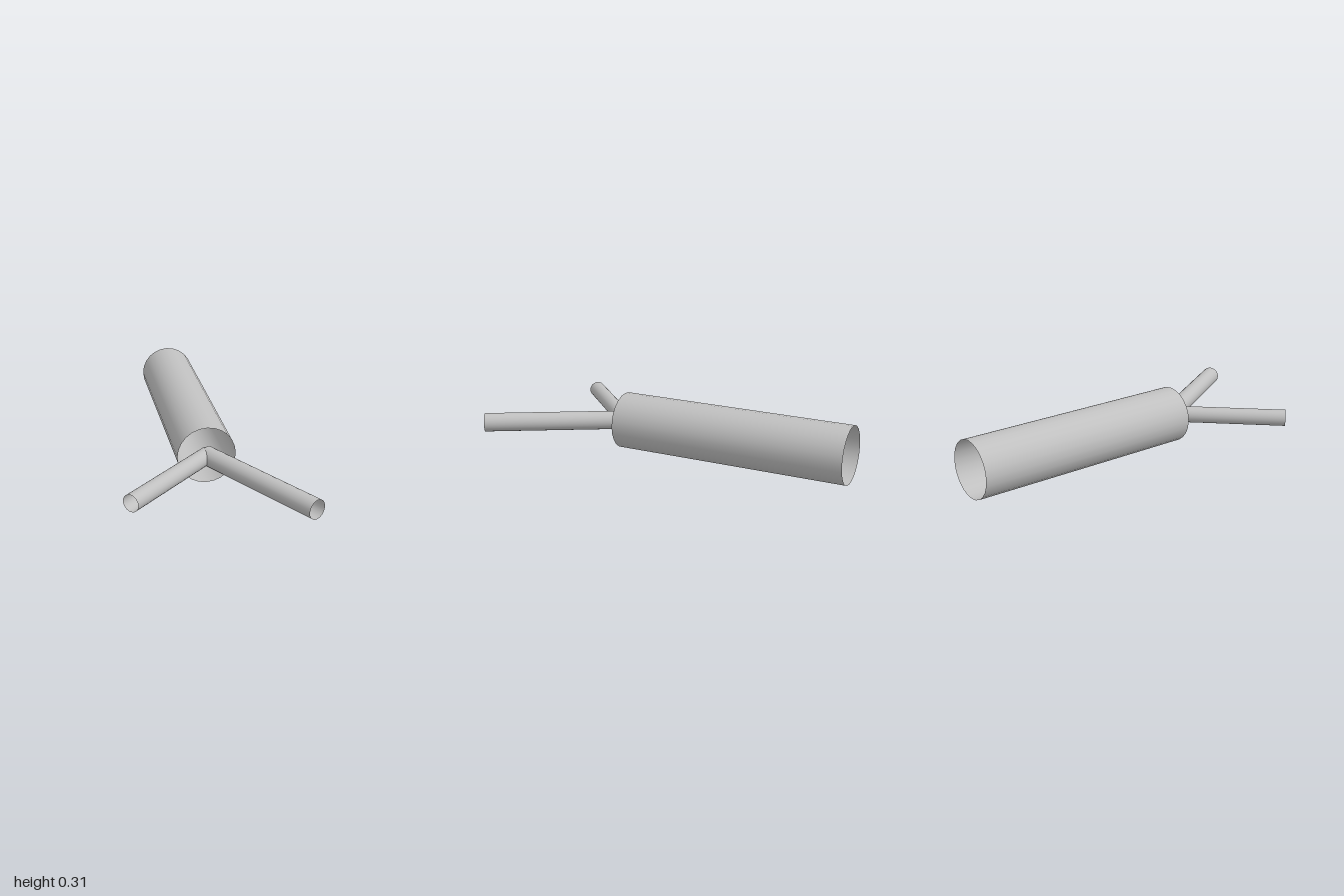
import * as THREE from 'three';

export function createModel() {
  const group = new THREE.Group();
  const grey = new THREE.MeshStandardMaterial({ color: 0xc0c0c0, side: THREE.DoubleSide });
  grey.name = 'light grey';

  // point on the main axis where all three pipes meet
  const junction = new THREE.Vector3(0.026, 0.155, 0.3);

  // thin open pipe leaving the junction, turned by an angle from +z towards +x
  function addPipe(name, radius, length, degrees) {
    const geometry = new THREE.CylinderGeometry(radius, radius, length, 24, 1, true);
    geometry.rotateX(Math.PI / 2);
    geometry.translate(0, 0, length / 2);
    const pipe = new THREE.Mesh(geometry, grey);
    pipe.name = name;
    pipe.position.copy(junction);
    pipe.rotation.y = THREE.MathUtils.degToRad(degrees);
    group.add(pipe);
  }

  addPipe('mainPipe', 0.155, 1.3, 180);
  addPipe('leftBranch', 0.051, 0.779, 30);
  addPipe('rightBranch', 0.0455, 0.646, -45);

  return group;
}
